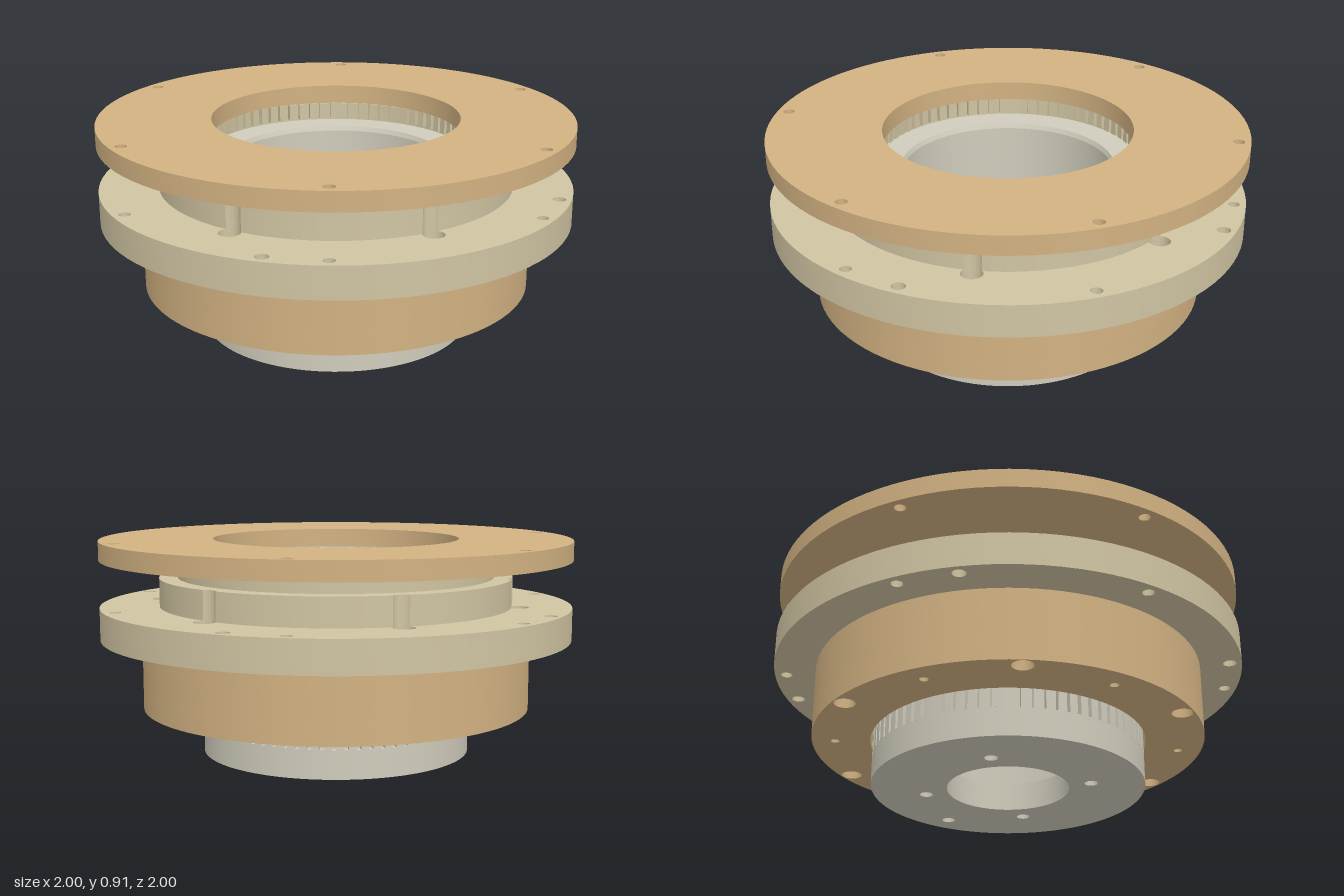
import * as THREE from 'three';
import { toCreasedNormals } from 'three/addons/utils/BufferGeometryUtils.js';

const TAU = Math.PI * 2;
const rad = THREE.MathUtils.degToRad;

const tan = new THREE.MeshStandardMaterial({ color: 0xd2b282 });
tan.name = 'tan';
const cream = new THREE.MeshStandardMaterial({ color: 0xd0c4a2 });
cream.name = 'cream';
const paleGrey = new THREE.MeshStandardMaterial({ color: 0xd0ccbc });
paleGrey.name = 'pale grey';

// Round outline, usable as a body or as a hole
function circle(Kind, r, x = 0, y = 0) {
  const p = new Kind();
  p.absarc(x, y, r, 0, TAU, false);
  return p;
}

// Evenly spaced drill holes on a bolt circle
function boltHoles(count, ring, r, startDeg = 0) {
  return Array.from({ length: count }, (_, i) => {
    const a = rad(startDeg) + (i * TAU) / count;
    return circle(THREE.Path, r, ring * Math.cos(a), ring * Math.sin(a));
  });
}

// Circle with narrow radial slots cut from radius r to radius cut
function slotted(Kind, r, cut, count = 72) {
  const pts = [];
  const step = TAU / count;
  const at = (radius, a) => pts.push(new THREE.Vector2(radius * Math.cos(a), radius * Math.sin(a)));
  for (let i = 0; i < count; i++) {
    const a = i * step;
    at(cut, a - step * 0.17);
    at(cut, a + step * 0.17);
    at(r, a + step * 0.17);
    at(r, a + step * 0.5);
    at(r, a + step * 0.83);
  }
  return new Kind(pts);
}

// Circle with six round scallops bitten out of its rim
function scalloped(r, ring, bite) {
  const s = new THREE.Shape();
  const half = Math.acos((r * r + ring * ring - bite * bite) / (2 * r * ring));
  for (let i = 0; i < 6; i++) {
    const a = rad(30 + i * 60);
    const cx = ring * Math.cos(a), cy = ring * Math.sin(a);
    const from = Math.atan2(r * Math.sin(a - half) - cy, r * Math.cos(a - half) - cx);
    const to = Math.atan2(r * Math.sin(a + half) - cy, r * Math.cos(a + half) - cx);
    s.absarc(cx, cy, bite, from, to, true);
    s.absarc(0, 0, r, a + half, a + rad(60) - half, false);
  }
  s.closePath();
  return s;
}

// Vertical slab between y0 and y1
function slab(name, material, shape, holes, y0, y1) {
  shape.holes.push(...holes);
  const raw = new THREE.ExtrudeGeometry(shape, { depth: y1 - y0, bevelEnabled: false, curveSegments: 48 });
  raw.rotateX(-Math.PI / 2).translate(0, y0, 0);
  const mesh = new THREE.Mesh(toCreasedNormals(raw, rad(30)), material);
  mesh.name = name;
  return mesh;
}

export function createModel() {
  const model = new THREE.Group();
  model.name = 'flangedHousing';
  const disc = (r) => circle(THREE.Shape, r);
  const bore = (r) => circle(THREE.Path, r);
  const bolts = () => boltHoles(6, 0.95, 0.024);
  const throughHoles = () => boltHoles(6, 0.776, 0.044, 30);

  // Top cover plate
  model.add(slab('coverPlate', tan, disc(1), [bore(0.522), ...bolts()], 0.83, 0.91));

  // Housing: wide flange, scalloped shoulder, neck and inner tooth ring
  const housing = new THREE.Group();
  housing.name = 'housing';
  housing.add(
    slab('flange', cream, disc(1),
      [bore(0.58), ...bolts(), ...boltHoles(4, 0.95, 0.028, 45), ...throughHoles()], 0.495, 0.63),
    slab('shoulder', cream, scalloped(0.75, 0.776, 0.044), [bore(0.58)], 0.63, 0.75),
    slab('neck', cream, disc(0.672), [bore(0.58)], 0.75, 0.83),
    slab('innerTeeth', cream, disc(0.58), [slotted(THREE.Path, 0.55, 0.572)], 0.75, 0.82)
  );
  model.add(housing);

  // Lower ring, with blind screw holes in its underside
  const lowerRing = new THREE.Group();
  lowerRing.name = 'lowerRing';
  lowerRing.add(
    slab('drilledFace', tan, disc(0.825),
      [bore(0.58), ...throughHoles(), ...boltHoles(6, 0.727, 0.018)], 0.195, 0.3),
    slab('ringBody', tan, disc(0.825), [bore(0.58), ...throughHoles()], 0.3, 0.495)
  );
  model.add(lowerRing);

  // Rotor cup: drilled base, floor, slotted band and upper wall
  const rotor = new THREE.Group();
  rotor.name = 'rotorCup';
  const single = circle(THREE.Path, 0.028, 0.47, 0);
  rotor.add(
    slab('rotorBase', paleGrey, disc(0.57),
      [bore(0.255), ...boltHoles(4, 0.35, 0.028, 45), single], 0, 0.06),
    slab('rotorFloor', paleGrey, disc(0.57), [bore(0.255)], 0.06, 0.12),
    slab('slottedBand', paleGrey, slotted(THREE.Shape, 0.57, 0.545), [bore(0.442)], 0.12, 0.3)
  );
  const profile = [[0.442, 0.3], [0.57, 0.3], [0.57, 0.74], [0.45, 0.74], [0.442, 0.72], [0.442, 0.3]]
    .map(([r, y]) => new THREE.Vector2(r, y));
  const wall = new THREE.Mesh(
    toCreasedNormals(new THREE.LatheGeometry(profile, 96).toNonIndexed(), rad(15)), paleGrey);
  wall.name = 'rotorWall';
  rotor.add(wall);
  model.add(rotor);

  return model;
}
